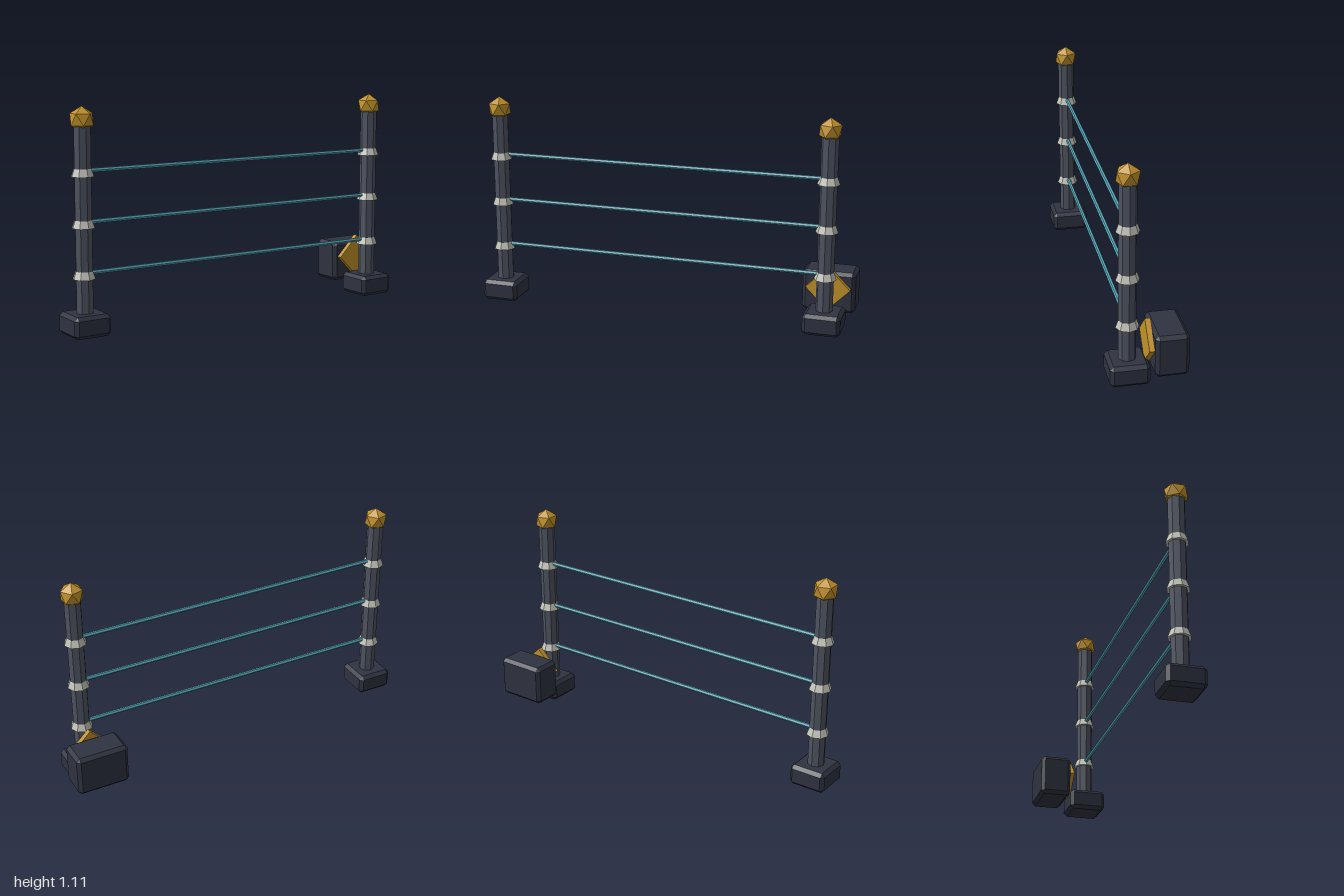
import * as THREE from 'three';
import { ConvexGeometry } from 'three/addons/geometries/ConvexGeometry.js';

const material = (color) => new THREE.MeshStandardMaterial({ color, flatShading: true });

// Box with chamfered edges and corners
function chamferedBox(w, h, d, bevel) {
  const points = [];
  const half = [w / 2, h / 2, d / 2];
  for (const sx of [-1, 1]) for (const sy of [-1, 1]) for (const sz of [-1, 1]) {
    for (let full = 0; full < 3; full++) {
      const c = half.map((v, i) => (i === full ? v : v - bevel));
      points.push(new THREE.Vector3(c[0] * sx, c[1] * sy, c[2] * sz));
    }
  }
  return new ConvexGeometry(points);
}

// Icosahedron standing on a vertex: two staggered rings of five and two poles
function uprightIcosahedron(r) {
  const points = [new THREE.Vector3(0, r, 0), new THREE.Vector3(0, -r, 0)];
  for (let i = 0; i < 10; i++) {
    const a = (i * Math.PI) / 5;
    const y = (i % 2 ? -r : r) / Math.sqrt(5);
    points.push(new THREE.Vector3(Math.cos(a) * r * 0.894, y, Math.sin(a) * r * 0.894));
  }
  return new ConvexGeometry(points);
}

export function createModel() {
  const group = new THREE.Group();
  const dark = material(0x2f3340);
  const steel = material(0x4d535f);
  const ceramic = material(0xc4c4ba);
  const gold = material(0xc2922a);
  const wire = material(0x55a6b8);

  const add = (parent, name, geometry, mat, x, y, z) => {
    const mesh = new THREE.Mesh(geometry, mat);
    mesh.name = name;
    mesh.position.set(x, y, z);
    parent.add(mesh);
    return mesh;
  };

  const leftX = 0.86, rightX = -0.9, lineZ = 0.088;
  const wireHeights = [0.304, 0.553, 0.802];

  // Posts with foot, insulator collars and finial
  for (const [name, x] of [['leftPost', leftX], ['rightPost', rightX]]) {
    const post = new THREE.Group();
    post.name = name;
    post.position.set(x, 0, lineZ);
    group.add(post);
    add(post, 'foot', chamferedBox(0.196, 0.11, 0.196, 0.018), dark, 0, 0.055, 0);
    add(post, 'shaft', new THREE.CylinderGeometry(0.044, 0.044, 0.94, 8), steel, 0, 0.55, 0);
    add(post, 'finial', uprightIcosahedron(0.064), gold, 0, 1.048, 0);
    for (const y of wireHeights) {
      add(post, 'insulator', new THREE.CylinderGeometry(0.044, 0.058, 0.038, 8), ceramic, 0, y - 0.008, 0);
    }
  }

  // Wires between the posts
  for (const y of wireHeights) {
    const geometry = new THREE.CylinderGeometry(0.011, 0.011, leftX - rightX - 0.06, 6);
    add(group, 'wire', geometry, wire, (leftX + rightX) / 2, y, lineZ).rotation.z = Math.PI / 2;
  }

  // Power box behind the left post, with a diamond plate on its front
  add(group, 'powerBox', chamferedBox(0.276, 0.218, 0.165, 0.018), dark, leftX, 0.168, -0.105);
  add(group, 'diamondPlate', new THREE.CylinderGeometry(0.116, 0.116, 0.028, 4), gold, leftX, 0.195, -0.01)
    .rotation.x = Math.PI / 2;

  return group;
}
